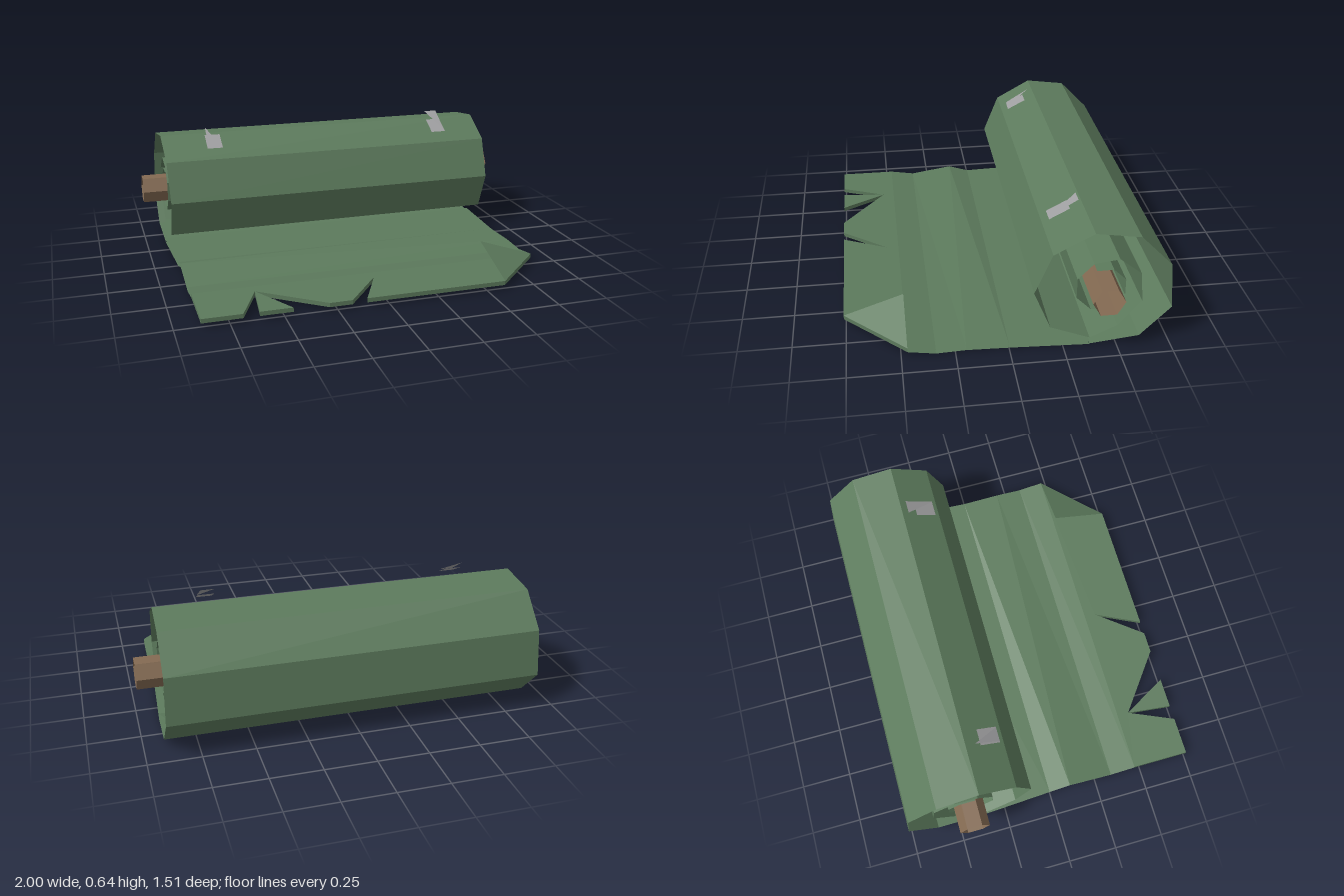
import * as THREE from 'three';

const flat = (name, color) =>
  new THREE.MeshStandardMaterial({ name, color, flatShading: true, side: THREE.DoubleSide });
const canvas = flat('green canvas', 0x5c7a5c);
const wood = flat('brown wood', 0x836a52);
const metal = flat('grey metal', 0x9e9ea0);

function add(group, name, geometry, material) {
  const mesh = new THREE.Mesh(geometry, material);
  mesh.name = name;
  group.add(mesh);
  return mesh;
}

// Flat-faced geometry from corner triples, fanned as polygons
function polygons(list) {
  const pos = [];
  for (const p of list)
    for (let i = 1; i < p.length - 1; i++) pos.push(...p[0], ...p[i], ...p[i + 1]);
  const g = new THREE.BufferGeometry();
  g.setAttribute('position', new THREE.Float32BufferAttribute(pos, 3));
  g.computeVertexNormals();
  return g;
}

// Cloth strip spanning two side profiles made of [z, y, halfWidth]
function strip(left, right = left) {
  const quads = [];
  for (let i = 0; i < left.length - 1; i++) {
    const at = (p, s) => [s * p[2], p[1], p[0]];
    quads.push([at(left[i], 1), at(left[i + 1], 1), at(right[i + 1], -1), at(right[i], -1)]);
  }
  return polygons(quads);
}

// Flat slab outlined by [x, z] points
function slab(points, y, depth) {
  const shape = new THREE.Shape(points.map(([x, z]) => new THREE.Vector2(x, -z)));
  return new THREE.ExtrudeGeometry(shape, { depth, bevelEnabled: false })
    .rotateX(-Math.PI / 2).translate(0, y, 0);
}

export function createModel() {
  const model = new THREE.Group();
  model.name = 'bedroll';

  // Outer turn of the roll, from the ground round the back and over the top
  const outer = [
    [-0.375, 0.005, 0.9], [-0.61, 0.035, 0.905], [-0.755, 0.185, 0.905],
    [-0.735, 0.415, 0.9], [-0.585, 0.57, 0.9], [-0.375, 0.6, 0.895],
    [-0.19, 0.5, 0.89], [-0.11, 0.3, 0.885], [-0.19, 0.105, 0.885], [-0.375, 0.04, 0.9],
  ];
  add(model, 'outerRoll', strip(outer), canvas);

  // Inner turns tightening around the pole
  const inner = [[-0.375, 0.04, 0.9]];
  for (let i = 0; i <= 12; i++) {
    const a = -Math.PI / 2 - 0.35 - i * Math.PI / 4;
    const r = Math.max(0.23 - i * 0.022, 0.16 - i * 0.005);
    inner.push([-0.43 - Math.cos(a) * -r, 0.3 + Math.sin(a) * r, 0.88]);
  }
  add(model, 'innerRoll', strip(inner), canvas);

  // Unrolled sheet in two layers, with a crease running across at an angle
  for (const [name, y] of [['sheetUnderside', 0.002], ['sheetTop', 0.023]]) {
    const side = (ridgeZ, ridgeY) => [
      [-0.375, y, 0.9], [0, y, 0.88], [ridgeZ, y + ridgeY, 0.88],
      [0.34, y, 0.88], [0.47, y + 0.021, 0.88],
    ];
    add(model, name, strip(side(0.2, 0.006), side(0.11, 0.035)), canvas);
  }

  // Torn front edge
  add(model, 'tornEdge', slab([
    [-0.88, 0.47], [-0.88, 0.76], [-0.69, 0.76], [-0.59, 0.53], [-0.29, 0.76],
    [-0.18, 0.76], [0, 0.53], [-0.11, 0.76], [0.59, 0.76], [0.88, 0.47],
  ], 0.023, 0.021), canvas);
  add(model, 'tornFlap', slab([[-0.59, 0.53], [-0.615, 0.76], [-0.46, 0.76]], 0.023, 0.021), canvas);

  // Corner folded back over the sheet
  add(model, 'foldedCorner', polygons([
    [[0.59, 0.045, 0.76], [0.88, 0.045, 0.47], [0.59, 0.145, 0.47]],
  ]), canvas);

  // Six-sided hollow pole through the middle
  const pole = new THREE.CylinderGeometry(0.075, 0.075, 2, 6, 1, true)
    .rotateZ(Math.PI / 2).translate(0, 0.3, -0.43);
  add(model, 'pole', pole, wood);

  // Metal clasps: a plate on the slope and a bent, pointed tongue
  const clasp = (x) => polygons([[
    [x - 0.04, 0.555, -0.21], [x + 0.04, 0.555, -0.21],
    [x + 0.04, 0.605, -0.305], [x - 0.04, 0.605, -0.305],
  ]]);
  add(model, 'rightClasp', clasp(-0.63), metal);
  add(model, 'leftClasp', clasp(0.63), metal);
  add(model, 'rightTongue', polygons([
    [[-0.665, 0.565, -0.21], [-0.595, 0.565, -0.21], [-0.663, 0.64, -0.33]],
  ]), metal);
  add(model, 'leftTongue', polygons([
    [[0.663, 0.565, -0.21], [0.663, 0.645, -0.345], [0.595, 0.645, -0.345]],
  ]), metal);

  return model;
}
